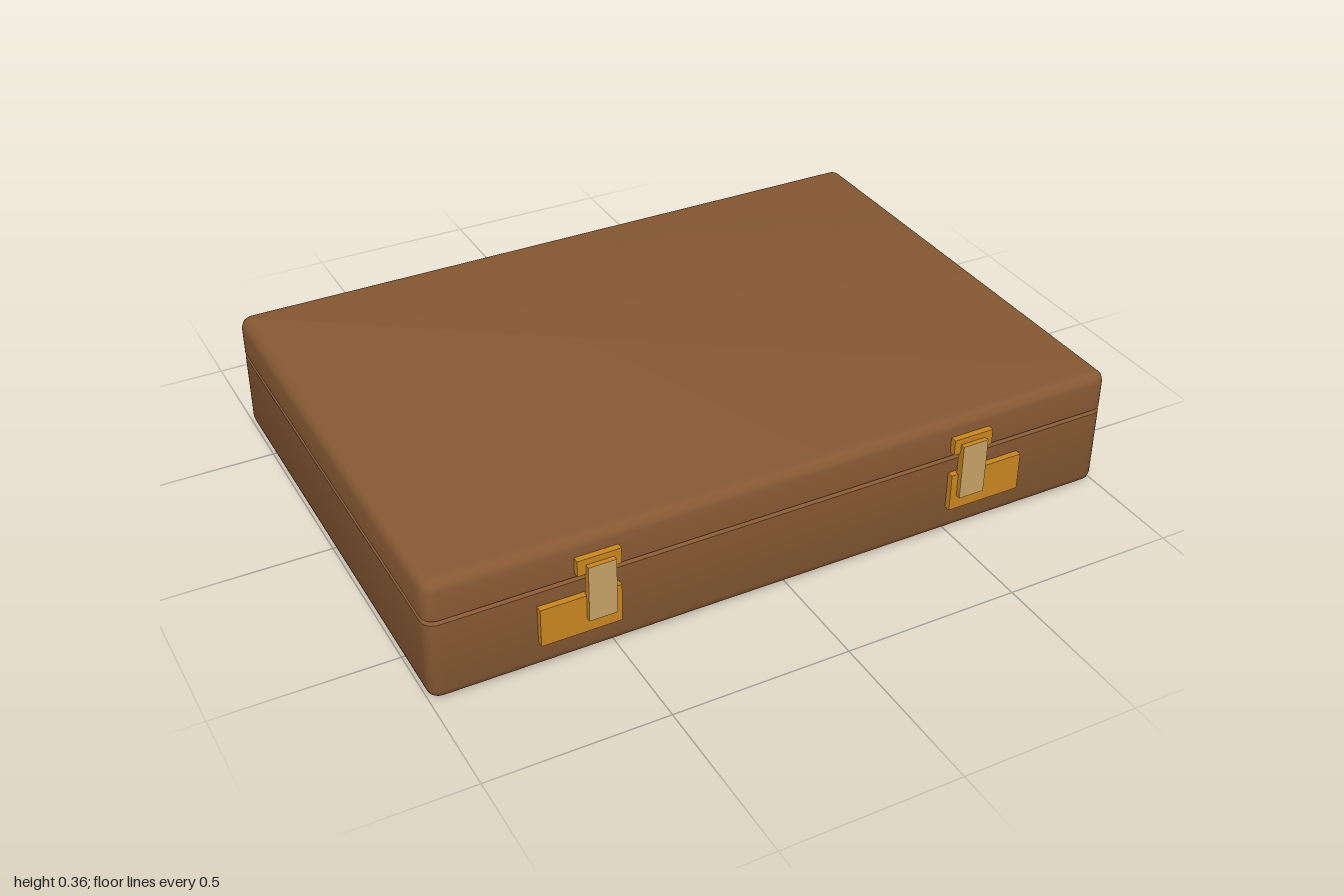
import * as THREE from 'three';
import { toCreasedNormals } from 'three/addons/utils/BufferGeometryUtils.js';

const leather = new THREE.MeshStandardMaterial({ name: 'brown leather', color: 0x875933 });
const brass = new THREE.MeshStandardMaterial({ name: 'brass', color: 0xcb8820 });
const paleBrass = new THREE.MeshStandardMaterial({ name: 'pale brass', color: 0xc9a468 });

const HALF_X = 1, HALF_Z = 0.698, CORNER = 0.035, STEPS = 5;

// Closed shell: rounded rectangles stacked from bottom to top, given as [inset, y]
function shellGeometry(profile) {
  const positions = [], index = [];
  const count = 4 * (STEPS + 1);
  for (const [inset, y] of profile) {
    const r = CORNER - inset;
    for (let q = 0; q < 4; q++) {
      const sx = q === 0 || q === 3 ? 1 : -1, sz = q < 2 ? 1 : -1;
      for (let i = 0; i <= STEPS; i++) {
        const a = (q + i / STEPS) * Math.PI / 2;
        positions.push(sx * (HALF_X - CORNER) + r * Math.cos(a), y, sz * (HALF_Z - CORNER) + r * Math.sin(a));
      }
    }
  }
  for (let k = 0; k < profile.length - 1; k++) {
    for (let i = 0; i < count; i++) {
      const a = k * count + i, b = k * count + (i + 1) % count;
      index.push(a, a + count, b, b, a + count, b + count);
    }
  }
  // Flat bottom and top
  const last = (profile.length - 1) * count;
  for (let i = 1; i < count - 1; i++) {
    index.push(0, i, i + 1);
    index.push(last, last + i + 1, last + i);
  }
  const geometry = new THREE.BufferGeometry();
  geometry.setAttribute('position', new THREE.Float32BufferAttribute(positions, 3));
  geometry.setIndex(index);
  return toCreasedNormals(geometry, 0.6);
}

// Box given by its lower and upper limits
function block(name, [x0, x1], [y0, y1], [z0, z1], material) {
  const mesh = new THREE.Mesh(new THREE.BoxGeometry(x1 - x0, y1 - y0, z1 - z0), material);
  mesh.position.set((x0 + x1) / 2, (y0 + y1) / 2, (z0 + z1) / 2);
  mesh.name = name;
  return mesh;
}

export function createModel() {
  const model = new THREE.Group();
  model.name = 'briefcase';

  // Case halves, meeting in a narrow V groove
  const base = new THREE.Mesh(shellGeometry([
    [0.03, 0], [0.016, 0.004], [0.005, 0.014], [0, 0.03], [0, 0.236], [0.01, 0.243],
  ]), leather);
  base.name = 'base';
  const lid = new THREE.Mesh(shellGeometry([
    [0.01, 0.243], [0, 0.249], [0, 0.33], [0.005, 0.346], [0.016, 0.356], [0.03, 0.36],
  ]), leather);
  lid.name = 'lid';
  model.add(base, lid);

  for (const side of [1, -1]) {
    const span = (a, b) => (side > 0 ? [a, b] : [-b, -a]);
    const label = side > 0 ? 'left' : 'right';

    // Latch: lock plate, keeper on the lid and the hasp bridging both
    const latch = new THREE.Group();
    latch.name = label + 'Latch';
    latch.add(
      block('lockPlate', span(0.49, 0.712), [0.083, 0.195], [0.68, 0.716], brass),
      block('keeper', span(0.49, 0.61), [0.262, 0.308], [0.68, 0.716], brass),
      block('hasp', span(0.51, 0.587), [0.125, 0.29], [0.708, 0.73],
        [brass, brass, brass, brass, paleBrass, brass]),
    );
    model.add(latch);

    // Hinge at the back
    model.add(block(label + 'Hinge', span(0.512, 0.587), [0.205, 0.28], [-0.73, -0.68], brass));
  }
  return model;
}
